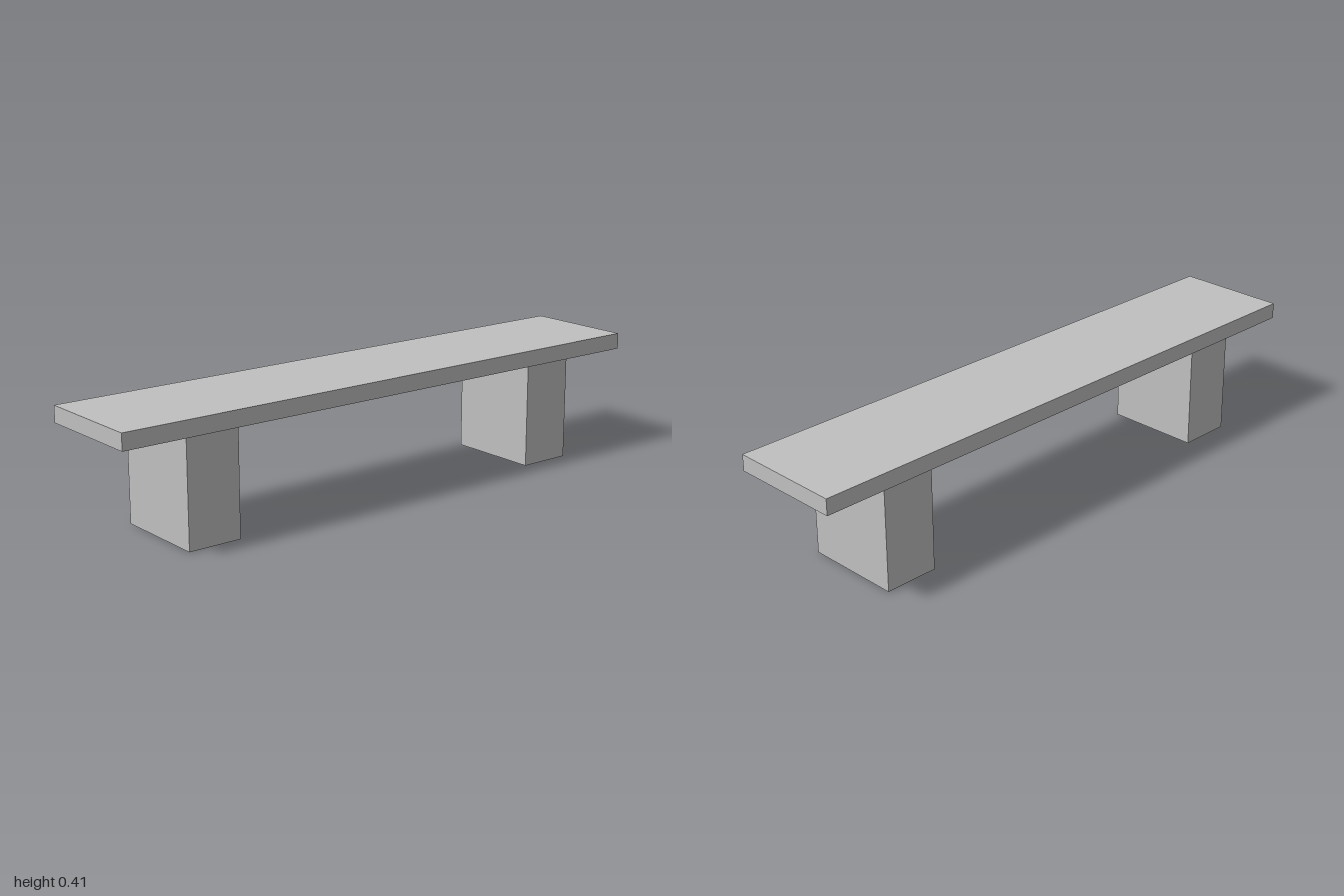
import * as THREE from 'three';

export function createModel() {
  const model = new THREE.Group();
  model.name = 'bench';
  const stone = new THREE.MeshStandardMaterial({ color: 0xc0c0c0 });
  stone.name = 'grey stone';

  // Block resting on height y
  function addBlock(name, width, height, depth, x, y) {
    const mesh = new THREE.Mesh(new THREE.BoxGeometry(width, height, depth), stone);
    mesh.name = name;
    mesh.position.set(x, y + height / 2, 0);
    model.add(mesh);
  }

  const legHeight = 0.355;

  // Seat slab
  addBlock('seat', 2, 0.054, 0.38, 0, legHeight);

  // Mirrored block legs
  for (const [name, side] of [['leftLeg', 1], ['rightLeg', -1]]) {
    addBlock(name, 0.182, legHeight, 0.327, side * 0.682, 0);
  }

  return model;
}
